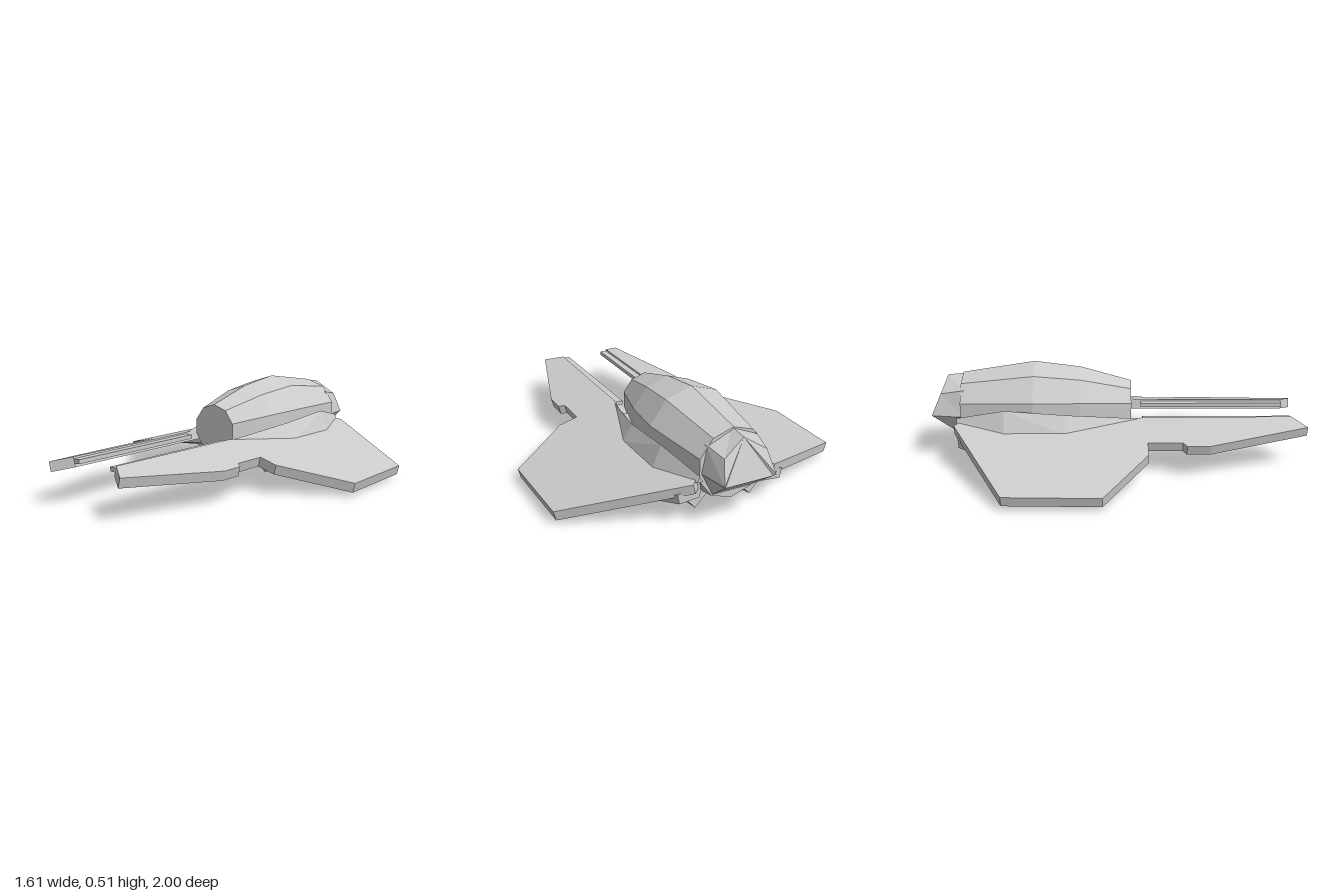
import * as THREE from 'three';

const material = new THREE.MeshStandardMaterial({ color: 0xcccccc, flatShading: true });

function addMesh(group, name, geometry) {
  const mesh = new THREE.Mesh(geometry, material);
  mesh.name = name;
  group.add(mesh);
}

// Closed solid through equal-length cross-sections of [x, y, z] points
function loft(sections) {
  const tris = [];
  const n = sections[0].length;
  for (let i = 0; i < sections.length - 1; i++) {
    const a = sections[i], b = sections[i + 1];
    for (let j = 0; j < n; j++) {
      const k = (j + 1) % n;
      tris.push([a[j], b[j], b[k]], [a[j], b[k], a[k]]);
    }
  }
  const first = sections[0], last = sections[sections.length - 1];
  for (let j = 1; j < n - 1; j++) {
    tris.push([first[0], first[j], first[j + 1]], [last[0], last[j + 1], last[j]]);
  }
  // Turn the faces outward, whichever way the sections run
  let volume = 0;
  for (const [a, b, c] of tris) {
    volume += a[0] * (b[1] * c[2] - b[2] * c[1])
      + a[1] * (b[2] * c[0] - b[0] * c[2])
      + a[2] * (b[0] * c[1] - b[1] * c[0]);
  }
  if (volume < 0) tris.forEach((t) => t.reverse());
  const geometry = new THREE.BufferGeometry();
  geometry.setAttribute('position', new THREE.Float32BufferAttribute(tris.flat(2), 3));
  geometry.computeVertexNormals();
  return geometry;
}

// Cross-section at one z, mirrored by side
const at = (z, points, side = 1) => points.map(([x, y]) => [x * side, y, z]);

// Ten-sided hull ring
function ring(z, radius) {
  const points = [];
  for (let i = 0; i < 10; i++) {
    const a = Math.PI / 2 + (i / 10) * Math.PI * 2;
    points.push([Math.cos(a) * radius, 0.27 + Math.sin(a) * radius]);
  }
  return at(z, points);
}

// Thin plate drooping 15 degrees toward the tip
function wingGeometry(side) {
  const outline = [
    [0.25, 1], [0.15, 0.93], [0.155, 0.13], [0.185, -0.02], [0.16, -0.05], [0.17, -0.8],
    [0.195, -0.84], [0.225, -0.87], [0.795, -0.56], [0.805, -0.08], [0.48, 0.15],
    [0.38, 0.15], [0.38, 0.33], [0.41, 0.35], [0.41, 0.47],
  ];
  const shape = new THREE.Shape(outline.map(([x, z]) => new THREE.Vector2(x * side, z)));
  const geometry = new THREE.ExtrudeGeometry(shape, { depth: 0.05, bevelEnabled: false });
  const p = geometry.attributes.position;
  for (let i = 0; i < p.count; i++) {
    const x = p.getX(i), z = p.getY(i), d = p.getZ(i);
    const top = 0.07 + (0.8 - Math.abs(x)) * 0.265;
    p.setXYZ(i, x - side * d * 0.26, top - d, z);
  }
  geometry.computeVertexNormals();
  return geometry;
}

export function createModel() {
  const model = new THREE.Group();
  model.name = 'spacecraft';

  // Faceted hull
  addMesh(model, 'hull', loft([
    ring(0.07, 0.135), ring(-0.2, 0.212), ring(-0.45, 0.245), ring(-0.84, 0.185),
  ]));

  // Tail with a slanted rear face
  addMesh(model, 'tail', loft([
    at(-0.82, [[0, 0.45], [0.14, 0.39], [0.17, 0.25], [0.1, 0.11],
      [-0.1, 0.11], [-0.17, 0.25], [-0.14, 0.39]]),
    [[0, 0.44, -0.925], [0.115, 0.365, -0.95], [0.14, 0.25, -1], [0.13, 0.24, -0.99],
      [-0.13, 0.24, -0.99], [-0.14, 0.25, -1], [-0.115, 0.365, -0.95]],
  ]));

  for (const side of [1, -1]) {
    const label = side > 0 ? 'left' : 'right';
    const half = new THREE.Group();
    half.name = `${label}Side`;
    model.add(half);

    addMesh(half, `${label}Wing`, wingGeometry(side));

    // Thin rail along the inside of the front prong
    const rail = new THREE.BoxGeometry(0.046, 0.022, 0.8);
    rail.translate(side * 0.133, 0.222, 0.53);
    addMesh(half, `${label}Rail`, rail);

    // Ridge joining hull and wing above
    addMesh(half, `${label}Fairing`, loft([
      at(0.1, [[0.165, 0.23], [0.175, 0.225], [0.168, 0.24]], side),
      at(-0.27, [[0.2, 0.2], [0.3, 0.195], [0.245, 0.285]], side),
      at(-0.6, [[0.2, 0.2], [0.3, 0.195], [0.25, 0.312]], side),
      at(-0.86, [[0.17, 0.22], [0.2, 0.22], [0.185, 0.25]], side),
    ]));

    // Wide shallow bulge under the wing
    addMesh(half, `${label}UnderBulge`, loft([
      at(-0.06, [[0.17, 0.15], [0.42, 0.115], [0.42, 0.13], [0.17, 0.2]], side),
      at(-0.26, [[0.18, 0.06], [0.445, 0.075], [0.46, 0.13], [0.17, 0.2]], side),
      at(-0.56, [[0.18, 0.06], [0.445, 0.075], [0.46, 0.13], [0.17, 0.2]], side),
      at(-0.84, [[0.17, 0.13], [0.28, 0.12], [0.29, 0.17], [0.17, 0.2]], side),
    ]));

    // Square tilted pod between hull and bulge
    const pod = [[0.145, 0], [0.068, 0.08], [0.14, 0.15], [0.215, 0.085]];
    addMesh(half, `${label}Pod`, loft([
      at(-0.2, pod, side),
      at(-0.6, pod, side),
      at(-0.77, pod.map(([x, y]) => [x + 0.01, y + 0.03]), side),
    ]));
  }
  return model;
}
